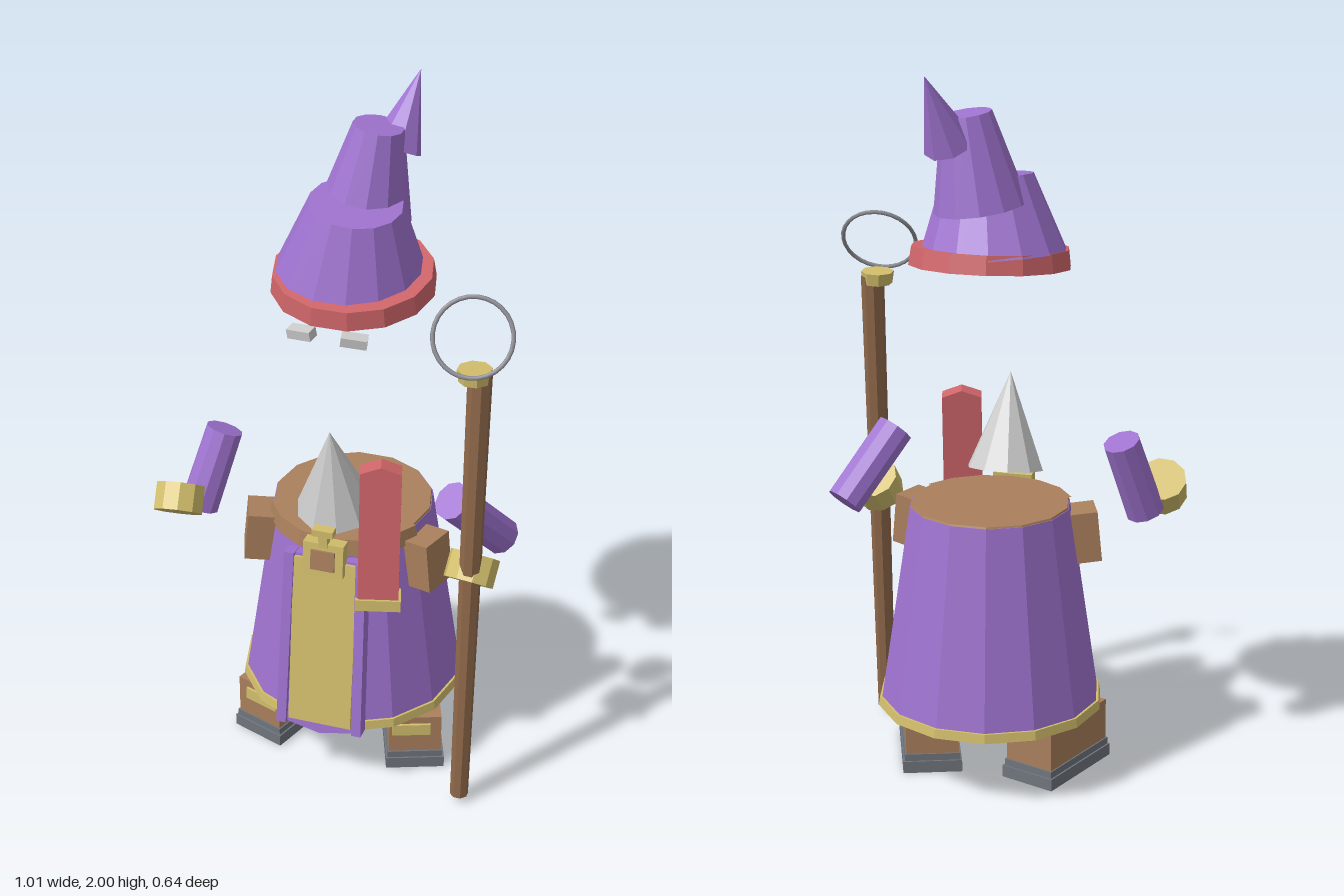
import * as THREE from 'three';

const mat = (name, color) => {
  const m = new THREE.MeshStandardMaterial({ color });
  m.name = name;
  return m;
};

export function createModel() {
  const purple = mat('purple cloth', 0x9f73d0);
  const gold = mat('gold', 0xd2be6c);
  const red = mat('red', 0xd0666a);
  const brown = mat('brown leather', 0xaa805d);
  const wood = mat('wood', 0x8f694b);
  const silver = mat('silver hair', 0xcccccc);
  const slate = mat('slate sole', 0x70757d);
  const steel = mat('steel', 0x8e8e95);

  const model = new THREE.Group();
  model.name = 'wizard';
  const CX = 0.013;

  // Faceted mesh
  function add(name, geo, material, pos = [0, 0, 0], rot = [0, 0, 0], parent = model) {
    const g = geo.index ? geo.toNonIndexed() : geo;
    g.computeVertexNormals();
    const mesh = new THREE.Mesh(g, material);
    mesh.name = name;
    mesh.position.set(...pos);
    mesh.rotation.set(...rot);
    parent.add(mesh);
    return mesh;
  }
  const box = (w, h, d) => new THREE.BoxGeometry(w, h, d);
  const drum = (rTop, rBottom, h, n) =>
    new THREE.CylinderGeometry(rTop, rBottom, h, n, 1, false, Math.PI / n);

  // Tapered cylinder between two points
  function limb(name, a, b, rA, rB, n, material) {
    const A = new THREE.Vector3(...a), B = new THREE.Vector3(...b);
    const dir = B.clone().sub(A);
    const mesh = add(name, drum(rB, rA, dir.length(), n), material);
    mesh.position.copy(A).lerp(B, 0.5);
    mesh.quaternion.setFromUnitVectors(new THREE.Vector3(0, 1, 0), dir.normalize());
    return mesh;
  }

  // Robe with gold hem and leather waist
  add('robe', drum(0.226, 0.314, 0.585, 14), purple, [CX, 0.4975, -0.003]);
  add('robeHem', drum(0.317, 0.321, 0.026, 14), gold, [CX, 0.216, -0.003]);
  add('waistTop', drum(0.222, 0.226, 0.01, 14), brown, [CX, 0.79, -0.003]);
  add('waistFront', new THREE.CylinderGeometry(0.23, 0.237, 0.048, 6, 1, false, -1.15, 2.3),
    brown, [CX, 0.771, -0.003]);

  // Hanging front panel, leaning with the robe
  const panel = new THREE.Group();
  panel.name = 'frontPanel';
  panel.position.set(CX, 0.475, 0.273);
  panel.rotation.x = -0.125;
  model.add(panel);
  const cloth = new THREE.Shape();
  cloth.moveTo(-0.105, 0.27);
  cloth.lineTo(-0.115, -0.27);
  cloth.lineTo(0, -0.295);
  cloth.lineTo(0.115, -0.27);
  cloth.lineTo(0.105, 0.27);
  add('panelCloth', new THREE.ExtrudeGeometry(cloth, { depth: 0.03, bevelEnabled: false }),
    purple, [0, 0, -0.025], [0, 0, 0], panel);
  add('panelFace', box(0.183, 0.52, 0.012), gold, [0, 0.002, 0.008], [0, 0, 0], panel);
  for (const s of [-1, 1])
    add('panelRib', box(0.028, 0.545, 0.045), purple, [s * 0.107, 0, -0.002], [0, 0, s * 0.015], panel);

  // Belt buckle
  add('buckle', box(0.115, 0.1, 0.04), gold, [CX, 0.753, 0.255], [-0.1, 0, 0]);
  add('buckleCentre', box(0.068, 0.06, 0.008), brown, [CX, 0.755, 0.277], [-0.1, 0, 0]);
  add('bucklePin', box(0.025, 0.04, 0.025), gold, [CX, 0.815, 0.262]);
  add('bucklePinTop', box(0.06, 0.02, 0.03), gold, [CX, 0.843, 0.265]);

  // Pointed silver beard
  add('beard', new THREE.ConeGeometry(0.11, 0.275, 10, 1, false, Math.PI / 10), silver,
    [0.008, 0.982, 0.167], [0.2, 0, 0]);

  // Red scroll case with gold foot
  const scroll = new THREE.Group();
  scroll.name = 'scrollCase';
  scroll.position.set(0.16, 0.63, 0.238);
  scroll.rotation.set(-0.08, 0.27, 0.01);
  model.add(scroll);
  const outline = new THREE.Shape();
  outline.moveTo(-0.056, 0);
  outline.lineTo(0.056, 0);
  outline.lineTo(0.056, 0.405);
  outline.lineTo(0, 0.425);
  outline.lineTo(-0.056, 0.405);
  add('scrollBody', new THREE.ExtrudeGeometry(outline, { depth: 0.055, bevelEnabled: false }),
    red, [0, 0, -0.0275], [0, 0, 0], scroll);
  add('scrollFoot', box(0.125, 0.033, 0.07), gold, [0, 0, 0], [0, 0, 0], scroll);

  // Pouches and boots, mirrored
  for (const s of [-1, 1]) {
    add('pouch', box(0.085, 0.145, 0.105), brown, [CX + s * 0.243, 0.693, 0.092], [0, -s * 0.35, s * 0.1]);

    const boot = new THREE.Group();
    boot.name = s > 0 ? 'leftBoot' : 'rightBoot';
    boot.position.set(CX + s * 0.19, 0, 0.025);
    boot.rotation.y = s * 0.35;
    model.add(boot);
    add('sole', box(0.168, 0.035, 0.3), slate, [0, 0.0175, 0], [0, 0, 0], boot);
    add('welt', box(0.158, 0.02, 0.29), slate, [0, 0.045, 0], [0, 0, 0], boot);
    add('shoe', box(0.15, 0.12, 0.28), brown, [0, 0.115, 0], [0, 0, 0], boot);
    add('ankle', box(0.12, 0.06, 0.14), brown, [0, 0.19, -0.03], [0, 0, 0], boot);
    add('strap', box(0.11, 0.036, 0.03), gold, [-s * 0.012, 0.135, 0.133], [0, 0, 0], boot);
  }

  // Sleeves and mitts
  limb('rightSleeve', [-0.4, 0.76, 0.13], [-0.345, 0.98, 0.055], 0.055, 0.052, 10, purple);
  limb('leftSleeve', [0.445, 0.75, 0.005], [0.338, 0.935, 0.148], 0.054, 0.055, 10, purple);
  limb('rightMitt', [-0.431, 0.785, 0.215], [-0.437, 0.845, 0.167], 0.07, 0.07, 10, gold);
  limb('leftMitt', [0.404, 0.72, 0.205], [0.41, 0.78, 0.157], 0.07, 0.07, 10, gold);

  // Staff with cap and ring
  limb('staff', [0.412, 0.02, 0.259], [0.414, 1.37, 0.192], 0.026, 0.033, 8, wood);
  add('staffCap', drum(0.047, 0.042, 0.035, 8), gold, [0.4, 1.365, 0.195], [-0.05, 0, 0.03]);
  const ring = new THREE.Mesh(new THREE.TorusGeometry(0.104, 0.006, 6, 28), steel);
  ring.name = 'staffRing';
  ring.position.set(0.392, 1.473, 0.194);
  ring.rotation.set(-0.53, 0.12, 0, 'YXZ');
  model.add(ring);

  // Eyebrows
  for (const s of [-1, 1])
    add('eyebrow', box(0.07, 0.027, 0.035), silver, [0.01 + s * 0.072, 1.42, 0.212], [0.1, s * 0.2, -s * 0.14]);

  // Crooked hat in stacked tiers
  add('hatBand', drum(0.216, 0.223, 0.052, 14), red, [CX, 1.492, 0], [0.1, 0, 0]);
  limb('hatLower', [0.003, 1.5, -0.012], [0.022, 1.71, 0.008], 0.203, 0.125, 14, purple);
  limb('hatMiddle', [0.018, 1.64, -0.075], [0.052, 1.89, -0.09], 0.127, 0.068, 12, purple);
  limb('hatTip', [0.085, 1.81, -0.135], [0.125, 2.0, -0.222], 0.07, 0.001, 8, purple);

  return model;
}
